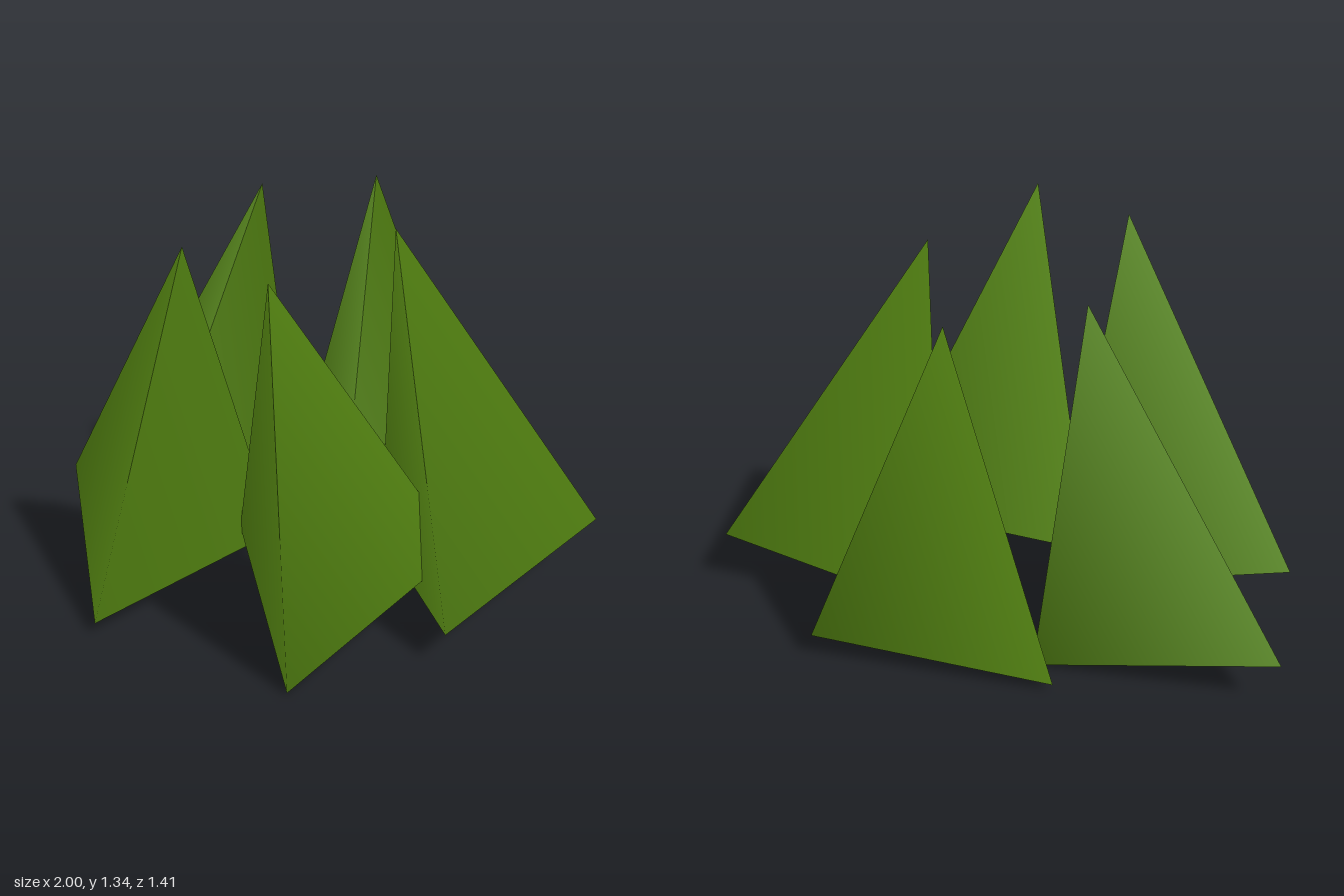
import * as THREE from 'three';

// Clump of five three-sided leaf spikes, set in a ring and tilted
export function createModel() {
  const group = new THREE.Group();
  group.name = 'grassClump';

  const leafGreen = new THREE.MeshStandardMaterial({ color: 0x4f7d10 });
  leafGreen.name = 'leafGreen';

  const count = 5;
  const ring = 0.493; // ring radius
  const tilt = 0.26; // lean of each spike
  const spike = new THREE.ConeGeometry(0.484, 1.26, 3);

  for (let i = 0; i < count; i++) {
    const a = (i / count) * Math.PI * 2;
    const leaf = new THREE.Mesh(spike, leafGreen);
    leaf.name = `leafSpike${i + 1}`;
    leaf.position.set(-0.06 + Math.cos(a) * ring, 0.732, -0.081 + Math.sin(a) * ring);
    // leans inward along x and outward along z
    leaf.rotation.set(Math.sin(a) * tilt, 0, Math.cos(a) * tilt);
    group.add(leaf);
  }
  return group;
}
